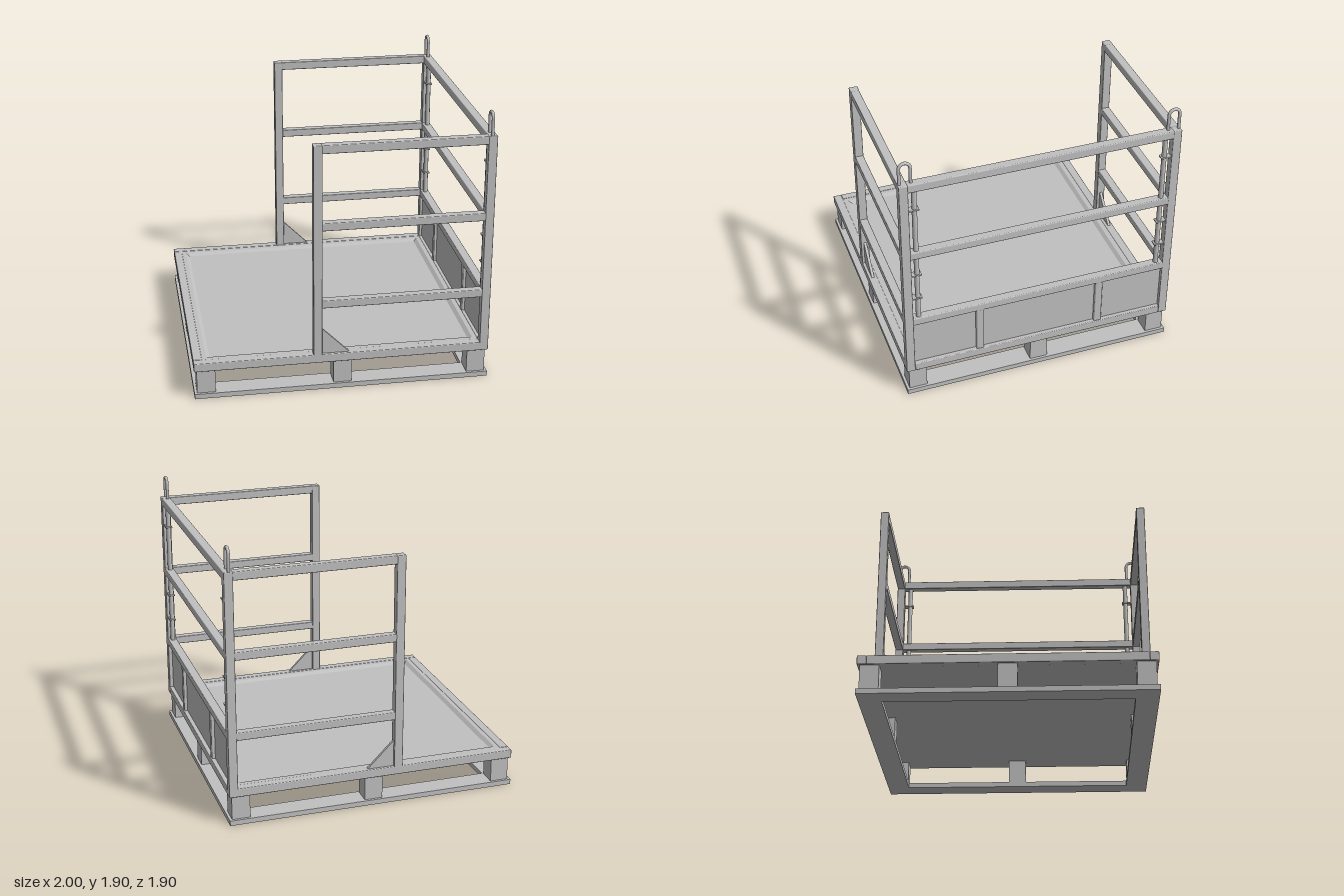
import * as THREE from 'three';
import { RoundedBoxGeometry } from 'three/addons/geometries/RoundedBoxGeometry.js';

const HX = 1, HZ = 0.95;   // half footprint
const T = 0.06;            // square tube size

export function createModel() {
  const model = new THREE.Group();
  model.name = 'palletCage';
  const steel = new THREE.MeshStandardMaterial({ color: 0xc0c0c0 });
  steel.name = 'greySteel';

  const add = (name, geometry, parent = model) => {
    const mesh = new THREE.Mesh(geometry, steel);
    mesh.name = name;
    parent.add(mesh);
    return mesh;
  };
  // Box given by its minimum and maximum corners, optionally with softened edges
  const box = (name, [x0, y0, z0], [x1, y1, z1], radius = 0, parent = model) => {
    const size = [x1 - x0, y1 - y0, z1 - z0];
    const geometry = radius
      ? new RoundedBoxGeometry(...size, 2, radius)
      : new THREE.BoxGeometry(...size);
    const mesh = add(name, geometry, parent);
    mesh.position.set((x0 + x1) / 2, (y0 + y1) / 2, (z0 + z1) / 2);
    return mesh;
  };
  // Rectangular ring of four bars around the footprint
  const ring = (name, y0, y1, width, radius) => {
    const group = new THREE.Group();
    group.name = name;
    model.add(group);
    for (const s of [-1, 1]) {
      const z = s * (HZ - width / 2), x = s * (HX - width / 2), h = width / 2;
      box('longBar', [-HX, y0, z - h], [HX, y1, z + h], radius, group);
      box('crossBar', [x - h, y0, -HZ + width], [x + h, y1, HZ - width], radius, group);
    }
  };

  // Pallet base: bottom runners, spacer blocks and deck frame
  ring('bottomRunner', 0, 0.035, 0.15, 0);
  ring('deckFrame', 0.2, 0.26, T, 0.006);
  for (const x of [-0.92, 0, 0.92]) {
    for (const z of [-0.87, 0, 0.87]) {
      if (x === 0 && z === 0) continue;
      box('spacerBlock', [x - 0.062, 0.035, z - 0.062], [x + 0.062, 0.2, z + 0.062]);
    }
  }
  add('deckPan', panGeometry());

  // Cage posts and rails
  const railHeights = [[0.6, 0.655], [1.152, 1.207], [1.682, 1.74]];
  for (const s of [-1, 1]) {
    const z0 = s * 0.92 - T / 2, z1 = s * 0.92 + T / 2;
    box('rearPost', [HX - T, 0.25, z0], [HX, 1.74, z1], 0.006);
    box('frontPost', [-0.2, 0.25, z0], [-0.14, 1.74, z1], 0.006);
    for (const [y0, y1] of railHeights) {
      box('sideRail', [-0.145, y0, z0 + 0.001], [HX - T + 0.005, y1, z1 - 0.001], 0.006);
    }

    // Triangular gusset at the foot of the open-end post
    const triangle = new THREE.Shape([
      new THREE.Vector2(-0.142, 0.258),
      new THREE.Vector2(0.045, 0.258),
      new THREE.Vector2(-0.142, 0.445),
    ]);
    const gusset = add('gusset',
      new THREE.ExtrudeGeometry(triangle, { depth: 0.02, bevelEnabled: false }));
    gusset.position.z = s * 0.92 - 0.01;

    // Hinge rod beside the corner post, held by small tabs
    const rod = add('hingeRod', new THREE.CylinderGeometry(0.017, 0.017, 1.04, 16));
    rod.position.set(0.97, 1.17, s * 0.848);
    for (const y of [0.818, 1.01, 1.535]) {
      const tab = add('hingeTab', new THREE.BoxGeometry(0.045, 0.01, 0.07));
      tab.position.set(0.97, y, s * 0.856);
    }

    // Lifting eye on top of the corner post
    const path = new THREE.CurvePath();
    const V = (z, y) => new THREE.Vector3(0.965, y, s * 0.9 + z);
    const r = 0.037, k = r * 0.5523, top = 1.852;
    path.add(new THREE.LineCurve3(V(-r, 1.73), V(-r, top)));
    path.add(new THREE.CubicBezierCurve3(V(-r, top), V(-r, top + k), V(-k, top + r), V(0, top + r)));
    path.add(new THREE.CubicBezierCurve3(V(0, top + r), V(k, top + r), V(r, top + k), V(r, top)));
    path.add(new THREE.LineCurve3(V(r, top), V(r, 1.73)));
    add('liftingEye', new THREE.TubeGeometry(path, 48, 0.011, 12, false));

    // Upright rib of the kick panel
    box('panelRib', [0.942, 0.255, s * 0.427 - 0.027], [0.995, 0.605, s * 0.427 + 0.027], 0.008);
  }
  for (const [y0, y1] of railHeights) {
    box('endRail', [HX - T, y0, -0.895], [HX, y1, 0.895], 0.006);
  }
  box('kickPanel', [0.962, 0.255, -0.895], [0.972, 0.605, 0.895]);

  return model;
}

// Closed deck slab with a shallow recessed floor, built from rectangular loops
function panGeometry() {
  const loops = [   // half x, half z, y
    [0.95, 0.9, 0.201],
    [0.95, 0.9, 0.257],
    [0.91, 0.855, 0.257],
    [0.885, 0.83, 0.24],
  ];
  const positions = [];
  const corner = ([x, z, y], i) =>
    [[x, y, z], [x, y, -z], [-x, y, -z], [-x, y, z]][i % 4];
  const quad = (a, b, c, d) => positions.push(...a, ...b, ...c, ...a, ...c, ...d);
  for (let j = 0; j < loops.length - 1; j++) {
    for (let i = 0; i < 4; i++) {
      quad(corner(loops[j], i), corner(loops[j], i + 1),
        corner(loops[j + 1], i + 1), corner(loops[j + 1], i));
    }
  }
  const floor = loops[loops.length - 1], base = loops[0];
  quad(...[0, 1, 2, 3].map((i) => corner(floor, i)));
  quad(...[3, 2, 1, 0].map((i) => corner(base, i)));
  const geometry = new THREE.BufferGeometry();
  geometry.setAttribute('position', new THREE.Float32BufferAttribute(positions, 3));
  geometry.computeVertexNormals();
  return geometry;
}
